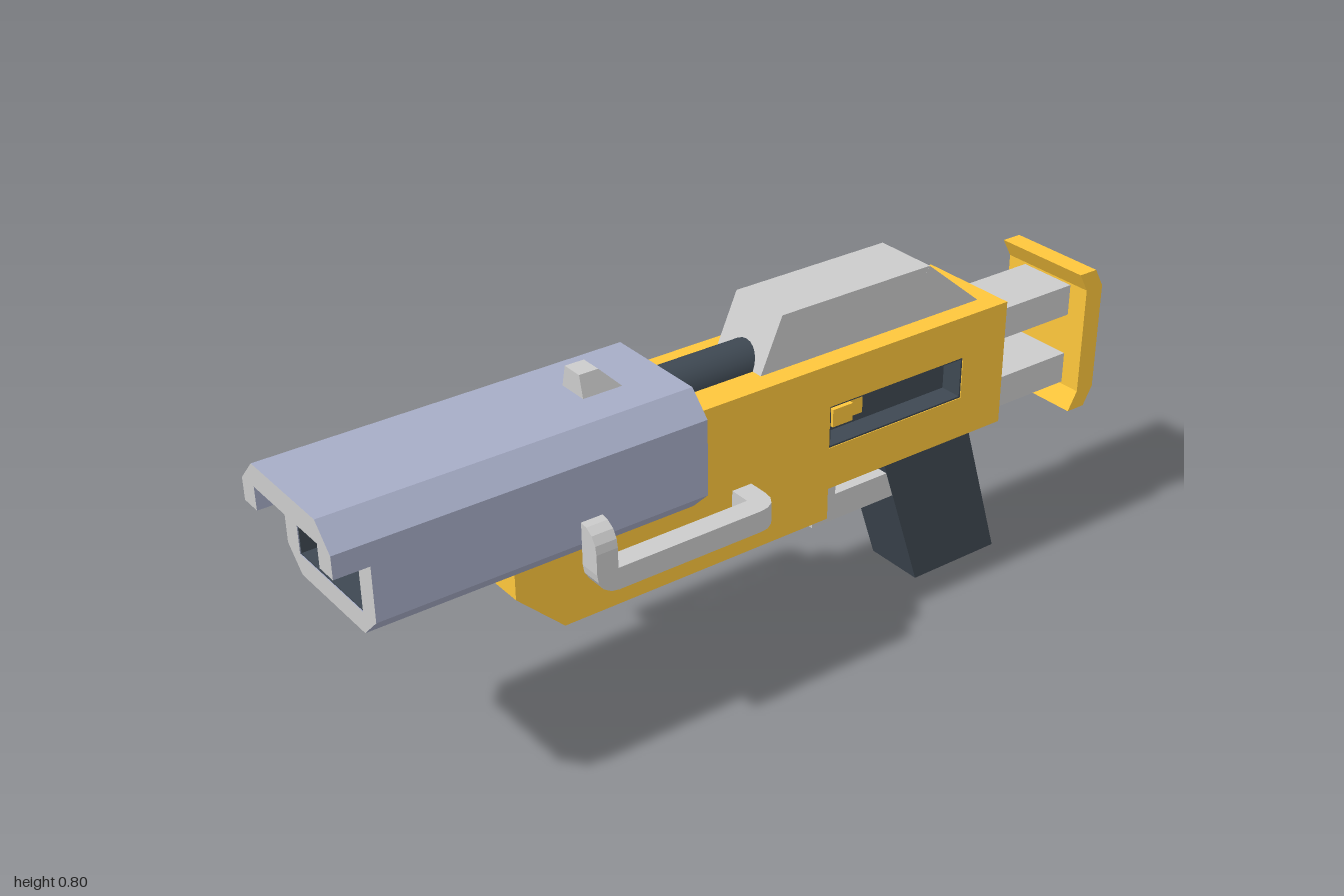
import * as THREE from 'three';

const mat = (color) => new THREE.MeshStandardMaterial({ color, flatShading: true });
const grey = mat(0xcccccc), yellow = mat(0xfdc63c), blue = mat(0xa6acc6), dark = mat(0x3e4852);

const shapeOf = (pts, ...holes) => {
  const toVec = (list) => list.map(([a, b]) => new THREE.Vector2(a, b));
  const s = new THREE.Shape(toVec(pts));
  for (const h of holes) s.holes.push(new THREE.Path(toVec(h)));
  return s;
};
const rect = (a0, a1, b0, b1) => [[a0, b0], [a1, b0], [a1, b1], [a0, b1]];
const extrude = (shape, depth) => new THREE.ExtrudeGeometry(shape, { depth, bevelEnabled: false });

// Side profile of [z, y] points, extruded to width w across x
const sideGeo = (w, pts, ...holes) =>
  extrude(shapeOf(pts, ...holes), w).rotateY(-Math.PI / 2).translate(w / 2, 0, 0);
// Front profile of [x, y] points, extruded from z0 to z1
const frontGeo = (z0, z1, pts, ...holes) => extrude(shapeOf(pts, ...holes), z1 - z0).translate(0, 0, z0);
const boxGeo = (x0, x1, y0, y1, z0, z1) =>
  new THREE.BoxGeometry(x1 - x0, y1 - y0, z1 - z0).translate((x0 + x1) / 2, (y0 + y1) / 2, (z0 + z1) / 2);

// Square bar swept along a path of corner points, with rounded corners
function barGeo(corners, half, radius) {
  const pts = [corners[0]];
  for (let i = 1; i < corners.length - 1; i++) {
    const c = corners[i];
    const a = c.clone().add(corners[i - 1].clone().sub(c).setLength(radius));
    const b = c.clone().add(corners[i + 1].clone().sub(c).setLength(radius));
    const bend = new THREE.QuadraticBezierCurve3(a, c, b);
    pts.push(...bend.getPoints(4));
  }
  pts.push(corners[corners.length - 1]);
  const n = pts.length, pos = [], idx = [];
  const dir = (i, j) => pts[j].clone().sub(pts[i]).normalize();
  let t = dir(0, 1);
  const u = new THREE.Vector3(0, 1, 0);
  for (let i = 0; i < n; i++) {
    const next = dir(Math.max(i - 1, 0), Math.min(i + 1, n - 1));
    if (i > 0 && i < n - 1) next.copy(dir(i - 1, i).add(dir(i, i + 1)).normalize());
    u.applyQuaternion(new THREE.Quaternion().setFromUnitVectors(t, next));
    t = next;
    const v = t.clone().cross(u);
    for (const [a, b] of [[1, 1], [-1, 1], [-1, -1], [1, -1]]) {
      const p = pts[i].clone().addScaledVector(u, a * half).addScaledVector(v, b * half);
      pos.push(p.x, p.y, p.z);
    }
  }
  for (let i = 0; i < n - 1; i++) {
    for (let k = 0; k < 4; k++) {
      const a = i * 4 + k, b = i * 4 + (k + 1) % 4;
      idx.push(a, b, a + 4, b, b + 4, a + 4);
    }
  }
  const e = (n - 1) * 4;
  idx.push(0, 2, 1, 0, 3, 2, e, e + 1, e + 2, e, e + 2, e + 3);
  const g = new THREE.BufferGeometry();
  g.setAttribute('position', new THREE.Float32BufferAttribute(pos, 3));
  g.setIndex(idx);
  const flat = g.toNonIndexed();
  flat.computeVertexNormals();
  return flat;
}

export function createModel() {
  const model = new THREE.Group();
  model.name = 'blaster';
  const add = (name, geo, material) => {
    const m = new THREE.Mesh(geo, material);
    m.name = name;
    model.add(m);
    return m;
  };

  // Body with a side window
  add('body', sideGeo(0.25, [
    [0.17, 0.68], [-0.695, 0.68], [-0.695, 0.38], [-0.19, 0.38], [-0.19, 0.305],
    [0.49, 0.305], [0.6, 0.41], [0.6, 0.468], [0.17, 0.468],
  ], rect(-0.57, -0.19, 0.48, 0.58)), yellow);
  add('windowLiner', sideGeo(0.246, rect(-0.572, -0.188, 0.478, 0.582), rect(-0.566, -0.194, 0.484, 0.576)), dark);
  add('windowCore', boxGeo(-0.07, 0.07, 0.48, 0.58, -0.57, -0.19), dark);
  add('boltCatch', boxGeo(-0.1, 0.1, 0.51, 0.552, -0.275, -0.22), yellow);
  add('boltCatchEnd', boxGeo(-0.085, 0.085, 0.51, 0.552, -0.315, -0.275), yellow);

  // Barrel housing: full section, then the overhanging lip at the muzzle
  const caps = [grey, blue];
  add('barrelHousing', frontGeo(0.17, 0.925, [
    [-0.125, 0.468], [0.125, 0.468], [0.175, 0.517], [0.175, 0.69],
    [0.125, 0.742], [-0.125, 0.742], [-0.175, 0.69], [-0.175, 0.517],
  ], rect(-0.125, 0.125, 0.515, 0.692)), caps);
  add('muzzleLip', frontGeo(0.925, 1, [
    [0.125, 0.64], [0.175, 0.64], [0.175, 0.69], [0.125, 0.742], [-0.125, 0.742],
    [-0.175, 0.69], [-0.175, 0.64], [-0.125, 0.64], [-0.125, 0.692], [0.125, 0.692],
  ]), caps);
  add('boreLiner', frontGeo(0.2, 0.923, rect(-0.127, 0.127, 0.513, 0.694), rect(-0.122, 0.122, 0.518, 0.689)), dark);
  add('boreEnd', boxGeo(-0.125, 0.125, 0.515, 0.692, 0.172, 0.22), dark);

  // Round rod between the barrel and the top sight
  add('rod', new THREE.CylinderGeometry(0.05, 0.05, 0.28, 24).rotateX(Math.PI / 2).translate(0, 0.68, 0.05),
    new THREE.MeshStandardMaterial({ color: 0x3e4852 }));

  // Top sight housing with a framed, recessed screen on its rear slope
  add('sightHousing', sideGeo(0.154, [
    [-0.04, 0.68], [-0.095, 0.803], [-0.5, 0.803], [-0.4875, 0.787], [-0.6375, 0.664], [-0.04, 0.664],
  ]), grey);
  const slope = Math.hypot(0.15, 0.123) / 2;
  const frame = add('screenFrame', extrude(shapeOf(
    rect(-0.077, 0.077, -slope, slope), rect(-0.055, 0.055, -0.046, 0.07)), 0.02), grey);
  const screen = add('screen', new THREE.BoxGeometry(0.112, 0.118, 0.006).translate(0, 0.012, 0.002), dark);
  for (const m of [frame, screen]) {
    m.rotation.set(Math.atan2(0.15, 0.123), Math.PI, 0);
    m.position.set(0, 0.7255, -0.5625);
  }

  // Front sight, tapering toward its top
  const bead = sideGeo(0.074, [[0.37, 0.74], [0.37, 0.79], [0.325, 0.79], [0.275, 0.74]]);
  const p = bead.attributes.position;
  for (let i = 0; i < p.count; i++) if (p.getY(i) > 0.77) p.setX(i, p.getX(i) * 0.68);
  bead.computeVertexNormals();
  add('frontSight', bead, grey);

  // Stock bars and butt plate
  for (const y of [0.38, 0.555]) add('stockBar', boxGeo(-0.074, 0.074, y, y + 0.075, -0.955, -0.69), grey);
  add('buttPlate', sideGeo(0.25, [
    [-0.925, 0.68], [-0.975, 0.68], [-1, 0.635], [-1, 0.375], [-0.975, 0.33],
    [-0.925, 0.33], [-0.95, 0.375], [-0.95, 0.635],
  ]), yellow);

  // Grip and trigger guard
  add('grip', sideGeo(0.15, [[-0.383, 0.385], [-0.64, 0.385], [-0.757, 0], [-0.51, 0]]), dark);
  add('triggerGuard', sideGeo(0.148, [
    [-0.191, 0.382], [-0.191, 0.255], [-0.45, 0.255], [-0.45, 0.32], [-0.255, 0.32], [-0.255, 0.382],
  ]), grey);

  // Bent side handles, mirrored
  for (const s of [1, -1]) {
    const path = [
      [0.11, 0.443, 0.045], [0.2, 0.443, 0.045], [0.2, 0.443, 0.45], [0.2, 0.541, 0.45], [0.16, 0.541, 0.45],
    ].map(([x, y, z]) => new THREE.Vector3(s * x, y, z));
    add(s > 0 ? 'leftHandle' : 'rightHandle', barGeo(path, 0.025, 0.028), grey);
  }
  return model;
}
